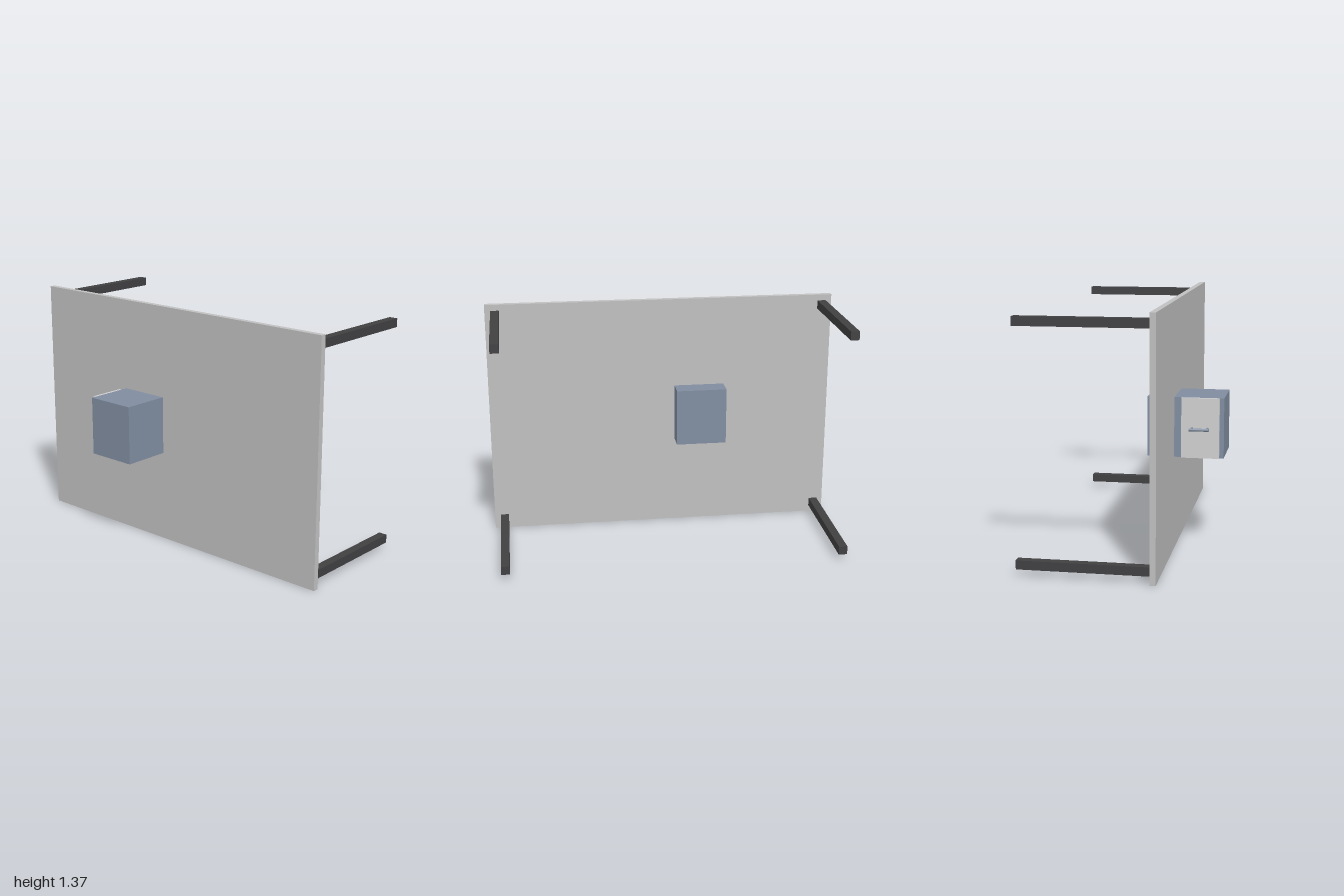
import * as THREE from 'three';

const material = (name, color) => {
  const m = new THREE.MeshStandardMaterial({ color });
  m.name = name;
  return m;
};

export function createModel() {
  const model = new THREE.Group();
  model.name = 'upturnedTable';

  const panelGrey = material('panel grey', 0xc0c0c0);
  const legBlack = material('leg charcoal', 0x404042);
  const slateBlue = material('slate blue', 0x808da0);
  const paleGrey = material('pale grey', 0xd0d0d0);

  // Box given by its limits on each axis
  const box = (name, mat, [x0, x1], [y0, y1], [z0, z1]) => {
    const mesh = new THREE.Mesh(new THREE.BoxGeometry(x1 - x0, y1 - y0, z1 - z0), mat);
    mesh.position.set((x0 + x1) / 2, (y0 + y1) / 2, (z0 + z1) / 2);
    mesh.name = name;
    model.add(mesh);
  };

  // Table top standing on its long edge
  box('tableTop', panelGrey, [-1, 1], [0, 1.368], [0.198, 0.23]);

  // Four square legs pointing backwards
  const half = 0.024;
  for (const x of [-0.943, 0.943]) {
    for (const y of [0.06, 1.31]) {
      box('leg', legBlack, [x - half, x + half], [y - half, y + half], [-0.5, 0.198]);
    }
  }

  // Drawer cabinet passing through the top, with its drawer front
  box('cabinet', slateBlue, [-0.37, -0.08], [0.521, 0.85], [0.084, 0.5]);
  box('drawerFront', paleGrey, [-0.386, -0.37], [0.521, 0.85], [0.27, 0.476]);

  // Bar handle on two posts
  const handle = new THREE.Group();
  handle.name = 'drawerHandle';
  handle.position.set(-0.386, 0.685, 0.37);
  const bar = new THREE.Mesh(new THREE.CylinderGeometry(0.008, 0.008, 0.108, 16), slateBlue);
  bar.name = 'handleBar';
  bar.rotation.x = Math.PI / 2;
  bar.position.x = -0.044;
  handle.add(bar);
  for (const z of [-0.042, 0.042]) {
    const post = new THREE.Mesh(new THREE.CylinderGeometry(0.006, 0.006, 0.044, 16), slateBlue);
    post.name = 'handlePost';
    post.rotation.z = Math.PI / 2;
    post.position.set(-0.022, 0, z);
    handle.add(post);
  }
  model.add(handle);

  return model;
}
